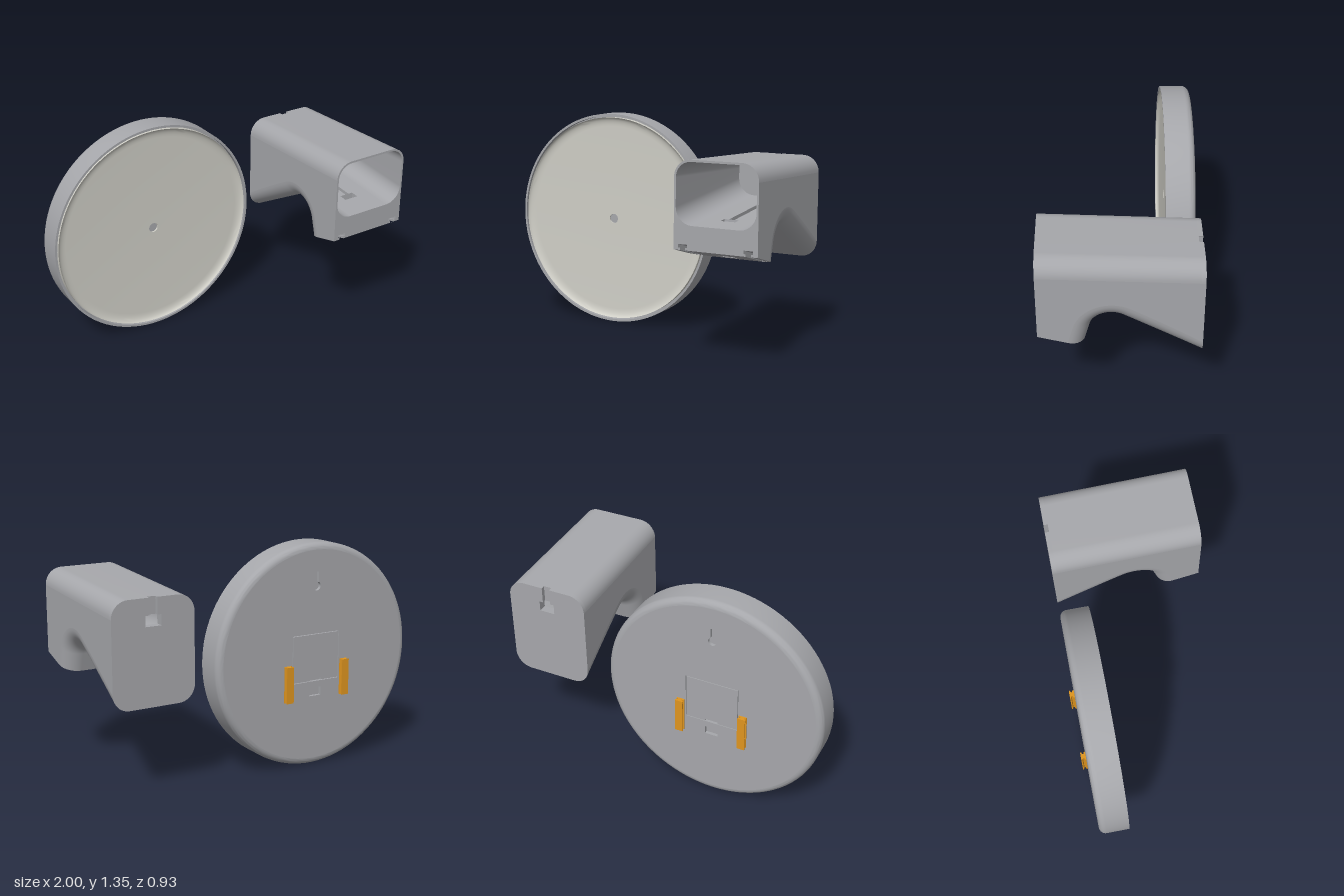
import * as THREE from 'three';
import { toCreasedNormals } from 'three/addons/utils/BufferGeometryUtils.js';

const V = (x, y, z) => new THREE.Vector3(x, y, z);
const grey = new THREE.MeshStandardMaterial({ color: 0xa6a7ab, side: THREE.DoubleSide });
grey.name = 'grey plastic';
const ivory = new THREE.MeshStandardMaterial({ color: 0xcfcec6, side: THREE.DoubleSide });
ivory.name = 'ivory diffuser';
const orange = new THREE.MeshStandardMaterial({ color: 0xdf951f });
orange.name = 'orange clip';

function add(group, name, geometry, material = grey) {
  const mesh = new THREE.Mesh(geometry, material);
  mesh.name = name;
  group.add(mesh);
  return mesh;
}

// Surface through rows of points
function loft(rows, flat = false) {
  const n = rows[0].length, index = [];
  for (let i = 0; i < rows.length - 1; i++)
    for (let j = 0; j < n - 1; j++) {
      const a = i * n + j, b = a + n;
      index.push(a, b, a + 1, b, b + 1, a + 1);
    }
  let g = new THREE.BufferGeometry().setFromPoints(rows.flat());
  g.setIndex(index);
  if (flat) g = g.toNonIndexed();
  g.computeVertexNormals();
  return g;
}

// Flat shape whose 2D points are placed in space by a rule
function sheet(shape, place) {
  const g = new THREE.ShapeGeometry(shape, 12), p = g.attributes.position;
  for (let i = 0; i < p.count; i++) {
    const v = place(p.getX(i), p.getY(i));
    p.setXYZ(i, v.x, v.y, v.z);
  }
  g.computeVertexNormals();
  return g;
}

const poly = pts => new THREE.Shape(pts.map(p => new THREE.Vector2(...p)));
const rectPts = (x0, y0, x1, y1) => [[x0, y0], [x1, y0], [x1, y1], [x0, y1]];
const rect = (...a) => poly(rectPts(...a));
const closed = pts => [...pts, pts[0]];

// Rounded rectangle, starting and ending on the bottom edge; rb and rt are corner radii
function roundPts(hw, y0, y1, rb, rt, n = 10) {
  const pts = [];
  const corner = (cx, cy, r, start) => {
    if (!r) { pts.push([cx, cy]); return; }
    for (let i = 0; i <= n; i++) {
      const t = start + (i / n) * Math.PI / 2;
      pts.push([cx + r * Math.cos(t), cy + r * Math.sin(t)]);
    }
  };
  corner(hw - rb, y0 + rb, rb, -Math.PI / 2);
  corner(hw - rt, y1 - rt, rt, 0);
  corner(-hw + rt, y1 - rt, rt, Math.PI / 2);
  corner(-hw + rb, y0 + rb, rb, Math.PI);
  return pts;
}

function buildDisplay() {
  const g = new THREE.Group();
  g.name = 'roundDisplay';
  const lathe = pts => toCreasedNormals(
    new THREE.LatheGeometry(pts.map(p => new THREE.Vector2(...p)), 96).rotateX(Math.PI / 2), 0.6);

  // Outer shell with rounded back edge
  const shell = [];
  for (let i = 0; i <= 8; i++) {
    const t = (i / 8) * Math.PI / 2;
    shell.push([0.635 + 0.04 * Math.sin(t), -0.395 - 0.04 * Math.cos(t)]);
  }
  shell.push([0.675, -0.26], [0.661, -0.26], [0.661, -0.3]);
  add(g, 'shell', lathe(shell));

  // Dished front face, open at the centre
  const face = [[0.652, -0.3], [0.652, -0.262]];
  for (let i = 1; i <= 6; i++) {
    const t = (i / 6) * Math.PI / 2;
    face.push([0.65 - 0.055 * (1 - Math.cos(t)), -0.262 - 0.022 * Math.sin(t)]);
  }
  face.push([0.03, -0.284], [0.03, -0.294]);
  add(g, 'frontFace', lathe(face), ivory);
  add(g, 'backingDisc', new THREE.CircleGeometry(0.664, 64).translate(0, 0, -0.297));

  // Back plate with keyhole, hatch opening and cable hole
  const back = new THREE.Shape().absarc(0, 0, 0.635, 0, Math.PI * 2);
  const keyhole = new THREE.Path();
  keyhole.moveTo(-0.012, 0.505).lineTo(-0.012, 0.442);
  keyhole.absarc(0, 0.442 - 0.022, 0.026, Math.PI * 0.65, Math.PI * 2.35, false);
  keyhole.lineTo(0.012, 0.505);
  back.holes.push(keyhole, rect(-0.165, -0.155, 0.165, 0.135), rect(-0.04, -0.245, 0.04, -0.195));
  const extrude = (s, depth) => new THREE.ExtrudeGeometry(s, { depth, bevelEnabled: false, curveSegments: 48 });
  add(g, 'backPlate', extrude(back, 0.02).translate(0, 0, -0.435));
  const hatch = poly([[-0.161, -0.151], [-0.04, -0.151], [-0.04, -0.14], [0.04, -0.14],
    [0.04, -0.151], [0.161, -0.151], [0.161, 0.131], [-0.161, 0.131]]);
  add(g, 'backHatch', extrude(hatch, 0.02).translate(0, 0, -0.435));

  // Upright T-section mounting clips
  const half = [[0.024, 0], [0.024, 0.007], [0.012, 0.012], [0.012, 0.018], [0.024, 0.023], [0.024, 0.03]];
  const profile = poly([...half, ...half.map(([x, y]) => [-x, y]).reverse()]);
  for (const s of [-1, 1])
    add(g, s > 0 ? 'leftClip' : 'rightClip',
      extrude(profile, 0.22).rotateX(-Math.PI / 2).translate(s * 0.1975, -0.26, -0.435), orange);

  g.position.set(-0.325, 0.675, 0);
  return g;
}

function buildStand() {
  const g = new THREE.Group();
  g.name = 'wallBracket';
  const hw = 0.2525, r = 0.1, zF = 0.465, zB = -0.435;

  // Underside stations: z, y and the inward direction's angle
  const under = [];
  for (let i = 0; i < 6; i++) {
    const k = i / 6;
    under.push([zB + k * 0.4425, 0.525 + k * 0.258, Math.PI * (0.5 + k / 6)]);
  }
  const end = Math.atan2(0.277, 0.961);
  for (let i = 0; i <= 16; i++) {
    const a = Math.PI * 2 / 3 + (end - Math.PI * 2 / 3) * i / 16;
    under.push([0.065 + 0.115 * Math.cos(a), 0.683 + 0.115 * Math.sin(a), a]);
  }
  under.push([0.205, 0.605, end]);
  const yTop = z => 1.185 - (zF - z) * 0.05;
  const zN = zB + 0.025;
  const top = [zF, zN, zB].map(z => [z, yTop(z), -Math.PI / 2]);

  // Half skin: flat strip from x0, then a rounded edge up to the side
  const skin = (stations, x0, s) => loft(stations.map(([z, y, a]) => {
    const row = [V(s * x0, y, z)];
    for (let i = 0; i <= 10; i++) {
      const t = (i / 10) * Math.PI / 2, d = r * (1 - Math.cos(t));
      row.push(V(s * (hw - r + r * Math.sin(t)), y + d * Math.sin(a), z + d * Math.cos(a)));
    }
    return row;
  }));
  const sideShape = poly([
    ...under.map(([z, y, a]) => [z + r * Math.cos(a), y + r * Math.sin(a)]),
    [zF, 0.68], [zF, yTop(zF) - r], [zB, yTop(zB) - r]]);
  for (const s of [-1, 1]) {
    add(g, 'underside', skin(under, 0, s));
    add(g, 'topSkin', skin(top.slice(0, 2), 0, s));
    add(g, 'topSkinNotched', skin(top.slice(1), 0.025, s));
    add(g, 'side', sheet(sideShape, (z, y) => V(s * hw, y, z)));
  }

  // T-slots on the leg: outline from the lower edge upward
  const slotXs = [-0.1975, 0.1975];
  const tee = [[-0.016, 0], [-0.016, 0.014], [-0.027, 0.014], [-0.027, 0.033],
    [0.027, 0.033], [0.027, 0.014], [0.016, 0.014], [0.016, 0]];

  // Front face with the large opening
  const front = poly([
    [-hw, 0.68], ...slotXs.flatMap(c => tee.map(([x, y]) => [c + x, 0.68 + y])), [hw, 0.68],
    ...roundPts(hw, 0.68, 1.185, 0, r).slice(1, -1)]);
  const openF = roundPts(0.241, 0.82, 1.173, 0.1, 0.09);
  front.holes.push(poly(openF));
  add(g, 'frontFace', sheet(front, (x, y) => V(x, y, zF)));

  // Cavity walls, floor and rear wall
  const zC = -0.385, openB = roundPts(0.241, 0.88, 1.131, 0.1, 0.09);
  add(g, 'cavityWall', loft([openF.map(p => V(...p, zF)), openB.map(p => V(...p, zC))]));
  const yFloor = z => 0.82 + (zF - z) * 0.06 / (zF - zC);
  const floor = rect(-0.141, zC, 0.141, zF);
  floor.holes.push(poly([[-0.017, zC + 0.001], [0.017, zC + 0.001], [0.017, 0.25], [0.045, 0.25],
    [0.045, 0.3], [-0.045, 0.3], [-0.045, 0.25], [-0.017, 0.25]]));
  add(g, 'cavityFloor', sheet(floor, (x, z) => V(x, yFloor(z), z)));
  const channel = [[-0.017, 0], [-0.017, -0.02], [0.017, -0.02], [0.017, 0]];
  add(g, 'floorChannel', loft([zC, 0.25].map(z => channel.map(([x, d]) => V(x, yFloor(z) + d, z))), true));

  const win = rectPts(-0.048, 0.98, 0.048, 1.042);
  const rear = poly(openB);
  rear.holes.push(poly([[-0.017, 0.881], [0.017, 0.881], [0.017, 0.98], [0.048, 0.98],
    [0.048, 1.042], [-0.048, 1.042], [-0.048, 0.98], [-0.017, 0.98]]));
  add(g, 'cavityRearWall', sheet(rear, (x, y) => V(x, y, zC)));
  add(g, 'rearChannel', loft([0.86, 0.98].map(y => channel.map(([x, d]) => V(x, y, zC + d))), true));

  // Back face with the cable window and the slot up to the top edge
  const outline = roundPts(hw, 0.525, 1.14, r, r);
  const notch = [[0.025, 1.14], [0.025, 1.042], [0.048, 1.042], [0.048, 0.98],
    [-0.048, 0.98], [-0.048, 1.042], [-0.025, 1.042], [-0.025, 1.14]];
  const back = poly([...outline.slice(0, 22), ...notch, ...outline.slice(22)]);
  add(g, 'backFace', sheet(back, (x, y) => V(x, y, zB)));
  add(g, 'notchWalls', loft([zB, zN].map(z => notch.map(p => V(...p, z))), true));
  add(g, 'notchFloor', sheet(rect(-0.025, 1.042, 0.025, yTop(zN)), (x, y) => V(x, y, zN)));
  add(g, 'windowWalls', loft([zN, zC].map(z => closed(win).map(p => V(...p, z))), true));

  // Leg foot: u runs back from the front edge along the slope
  const foot = (x, u, lift = 0) => V(x, 0.68 - 0.277 * u + lift, zF - 0.961 * u);
  const len = 0.2706, slotLen = 0.235;
  const footShape = poly([
    ...roundPts(hw, -len, 0, r, 0),
    ]);
  for (const c of slotXs) footShape.holes.push(rect(c - 0.016, -slotLen, c + 0.016, -0.0005));
  const port = rectPts(-0.045, -0.215, 0.045, -0.145);
  footShape.holes.push(poly(port));
  add(g, 'legFoot', sheet(footShape, (x, u) => foot(x, -u)));
  for (const c of slotXs) {
    add(g, 'clipSlot', loft([0, slotLen].map(u => tee.map(([x, y]) => foot(c + x, u, y))), true));
    add(g, 'clipSlotEnd', sheet(poly(tee), (x, y) => foot(c + x, slotLen, y)));
  }
  // Cable passage from the foot to the cavity floor
  const exit = rectPts(-0.045, 0.25, 0.045, 0.3);
  add(g, 'cablePassage', loft([closed(port).map(([x, u]) => foot(x, -u)),
    closed(exit).map(([x, z]) => V(x, yFloor(z), z))], true));

  g.position.x = 0.7475;
  return g;
}

export function createModel() {
  const model = new THREE.Group();
  model.name = 'roundDisplayWithBracket';
  model.add(buildDisplay(), buildStand());
  return model;
}
